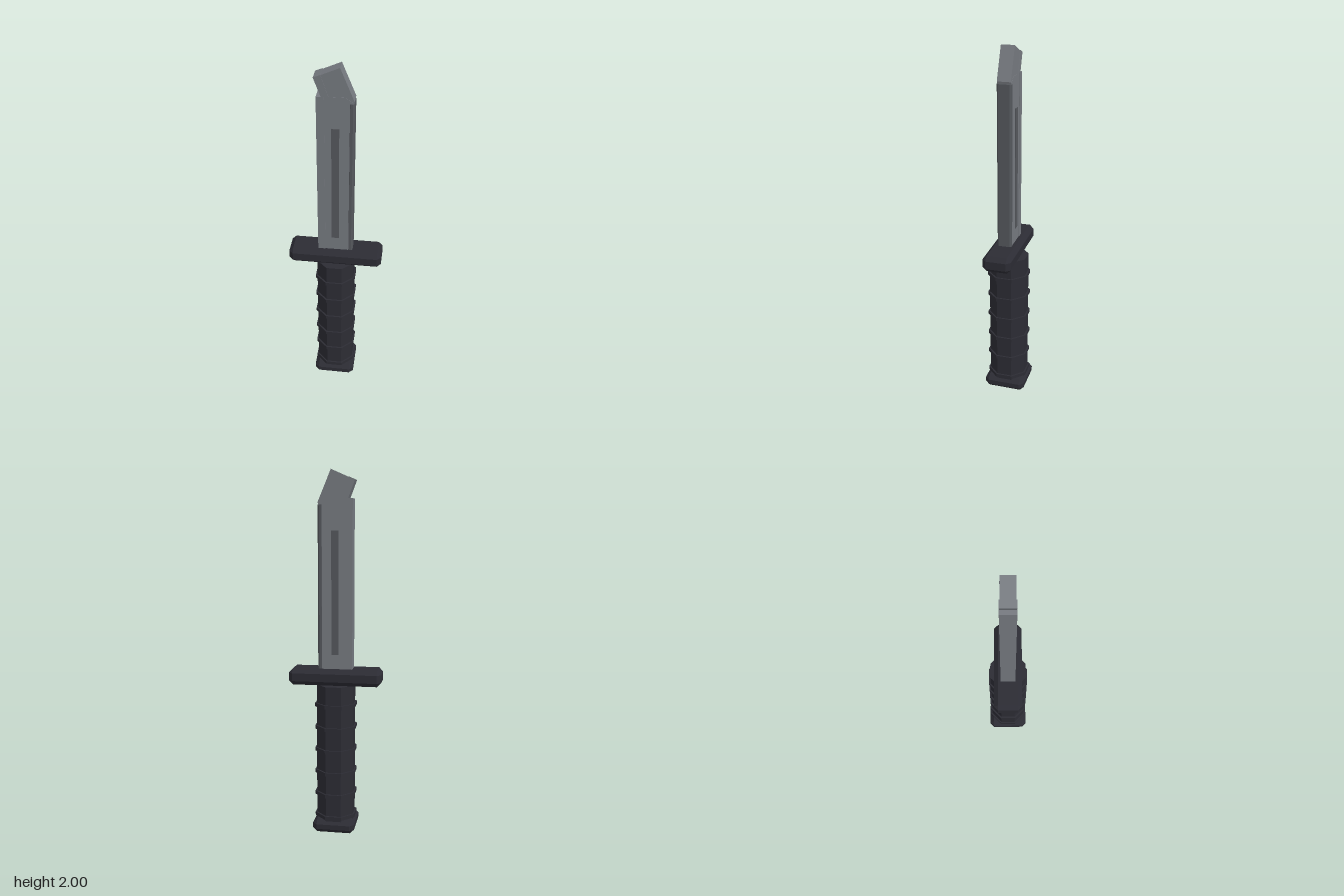
import * as THREE from 'three';
import { ConvexGeometry } from 'three/addons/geometries/ConvexGeometry.js';

const mat = (name, color) => {
  const m = new THREE.MeshStandardMaterial({ color });
  m.name = name;
  return m;
};

// Box with every edge and corner cut at 45 degrees
function chamferBox(w, h, d, c) {
  const pts = [];
  for (const sx of [-1, 1]) for (const sy of [-1, 1]) for (const sz of [-1, 1]) {
    const x = w / 2, y = h / 2, z = d / 2;
    pts.push(
      new THREE.Vector3(sx * x, sy * (y - c), sz * (z - c)),
      new THREE.Vector3(sx * (x - c), sy * y, sz * (z - c)),
      new THREE.Vector3(sx * (x - c), sy * (y - c), sz * z));
  }
  return new ConvexGeometry(pts);
}

// Flat outline in x, y given a thickness centred on z = 0
function slab(points, thickness) {
  const shape = new THREE.Shape(points.map(([x, y]) => new THREE.Vector2(x, y)));
  const geo = new THREE.ExtrudeGeometry(shape, { depth: thickness, bevelEnabled: false });
  return geo.translate(0, 0, -thickness / 2);
}

// Upright octagonal prism with a flat side to the front
function octagon(apothem, height) {
  const r = apothem / Math.cos(Math.PI / 8);
  return new THREE.CylinderGeometry(r, r, height, 8).rotateY(Math.PI / 8).toNonIndexed();
}

export function createModel() {
  const group = new THREE.Group();
  const black = mat('black grip', 0x2c2c34);
  const steel = mat('blade steel', 0x767a80);
  const dark = mat('dark steel', 0x55585d);

  const add = (name, geo, material, y = 0, x = 0) => {
    geo.computeVertexNormals();
    const mesh = new THREE.Mesh(geo, material);
    mesh.name = name;
    mesh.position.set(x, y, 0);
    group.add(mesh);
  };

  // Handle
  add('pommel', chamferBox(0.234, 0.075, 0.234, 0.024), black, 0.0375);
  add('grip', octagon(0.102, 0.8), black, 0.44);
  for (let i = 0; i < 6; i++) {
    add('gripRing', octagon(0.111, 0.02), black, 0.0875 + i * 0.128);
  }
  add('guard', chamferBox(0.514, 0.09, 0.158, 0.023), black, 0.885);

  // Blade with a thicker spine and a dark cutting edge
  add('blade', slab([[-0.09, 0.9], [0.088, 0.9], [0.088, 1.825], [0.05, 1.85], [-0.09, 1.85]], 0.076), steel);
  add('spine', slab([[-0.095, 0.9], [-0.055, 0.9], [-0.055, 1.849], [-0.095, 1.849]], 0.082), steel);
  add('cuttingEdge', chamferBox(0.03, 0.925, 0.078, 0.008), dark, 1.3625, 0.08);

  // Slanted tip with its own spine
  add('tip', slab([[-0.103, 1.945], [-0.05, 1.8], [0.09, 1.81], [0.094, 1.83], [0.023, 2]].reverse(), 0.073), steel);
  add('tipSpine', slab([[-0.107, 1.946], [-0.067, 1.84], [-0.03, 1.84], [-0.071, 1.961]], 0.079), steel);

  // Dark groove on both faces
  for (const s of [-1, 1]) {
    const geo = new THREE.BoxGeometry(0.04, 0.67, 0.007).translate(0, 1.345, s * 0.0385);
    add('groove', geo, dark);
  }
  return group;
}
